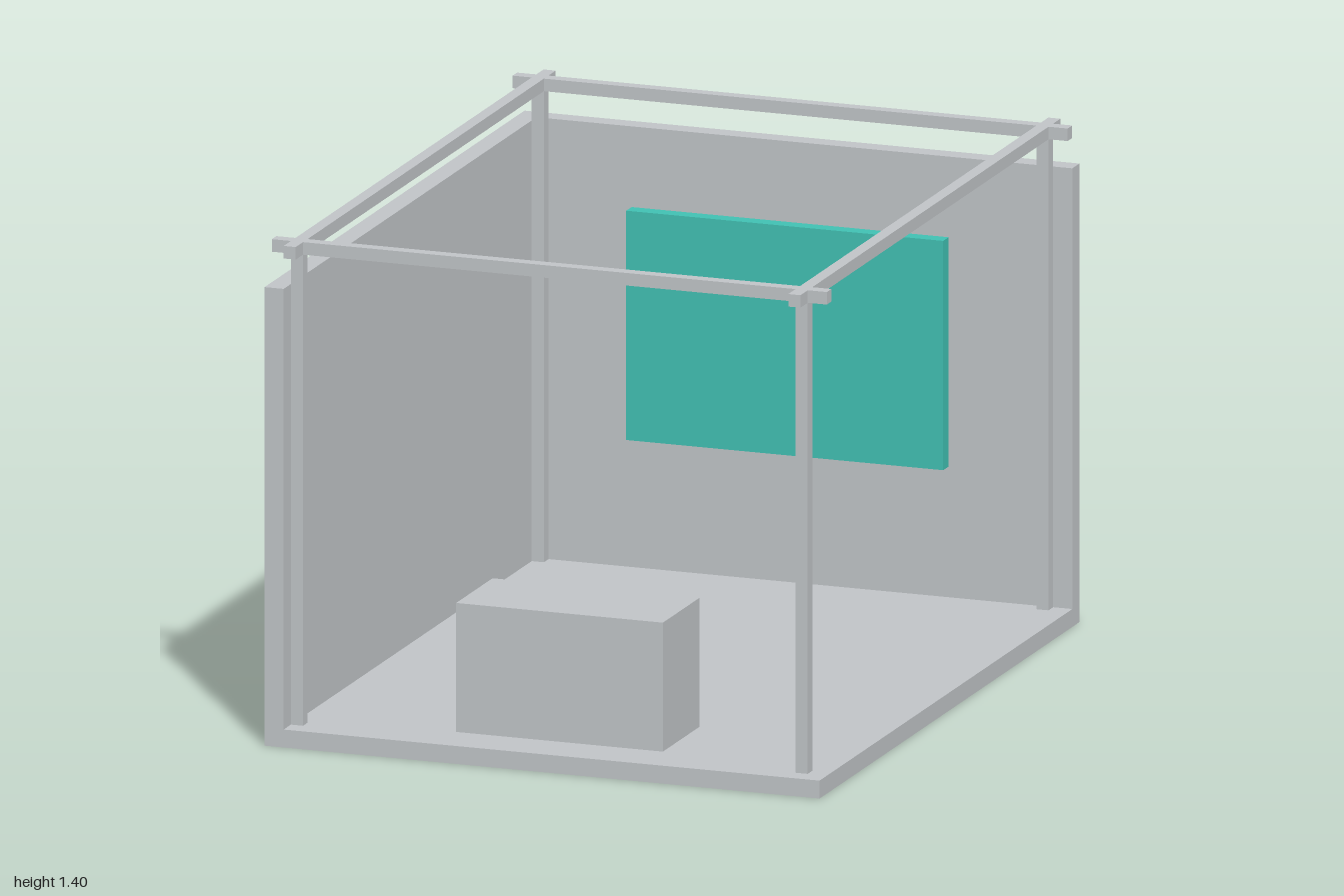
import * as THREE from 'three';

export function createModel() {
  const model = new THREE.Group();
  model.name = 'exhibitionBooth';

  const grey = new THREE.MeshStandardMaterial({ color: 0xc1c5c8 });
  grey.name = 'light grey';
  const teal = new THREE.MeshStandardMaterial({ color: 0x41c1b3 });
  teal.name = 'teal';

  // Box given by its extents along each axis
  function block(name, [x0, x1], [y0, y1], [z0, z1], material = grey) {
    const mesh = new THREE.Mesh(new THREE.BoxGeometry(x1 - x0, y1 - y0, z1 - z0), material);
    mesh.position.set((x0 + x1) / 2, (y0 + y1) / 2, (z0 + z1) / 2);
    mesh.name = name;
    model.add(mesh);
  }

  const W = 0.8, D = 1, wall = 0.055, floor = 0.05, wallTop = 1.28;
  const top = 1.4, bar = 0.035, postX = 0.7275, postZ = 0.9265;
  const across = (c) => [c - bar / 2, c + bar / 2];

  // Floor and the two solid walls, which share the back corner
  block('floor', [-W + wall, W], [0, floor], [-D + wall, D]);
  block('sideWall', [-W, -W + wall], [0, wallTop], [-D, D]);
  block('backWall', [-W + wall, W], [0, wallTop], [-D, -D + wall]);

  // Corner posts and the crossing roof beams
  for (const s of [-1, 1]) {
    for (const t of [-1, 1]) {
      block('post', across(s * postX), [floor, top - bar], across(t * postZ));
    }
    block('longBeam', across(s * postX), [top - bar, top], [-D, D]);
    // Cross beams are cut where they meet the long beams
    const inner = postX - bar / 2, outer = postX + bar / 2;
    for (const span of [[-W, -outer], [-inner, inner], [outer, W]]) {
      block('crossBeam', span, [top - bar, top], across(s * postZ));
    }
  }

  // Display panel in front of the back wall, and the counter
  block('displayPanel', [-0.457, 0.457], [0.425, 1.065], [-0.909, -0.867], teal);
  block('counter', [-0.3, 0.296], [floor, 0.41], [0.58, 0.86]);

  return model;
}
